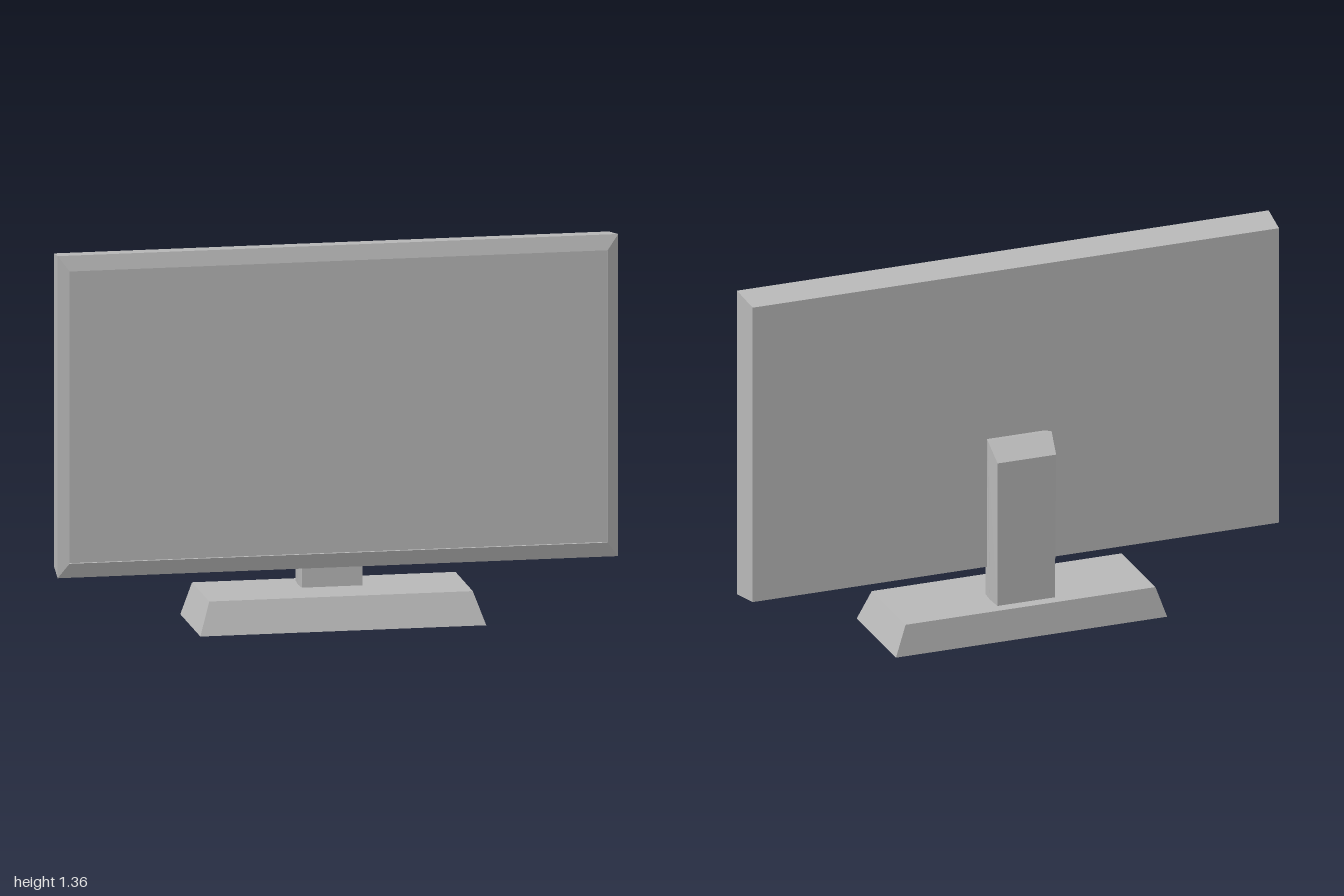
import * as THREE from 'three';

// Flat-faced solid through four-cornered rings, listed anticlockwise seen from the last ring
function loft(rings, capEnd = true) {
  const pos = [];
  const quad = (a, b, c, d) => pos.push(...a, ...b, ...c, ...a, ...c, ...d);
  for (let r = 0; r < rings.length - 1; r++) {
    const a = rings[r], b = rings[r + 1];
    for (let i = 0; i < 4; i++) {
      const j = (i + 1) % 4;
      quad(a[i], a[j], b[j], b[i]);
    }
  }
  quad(...[...rings[0]].reverse());
  if (capEnd) quad(...rings[rings.length - 1]);
  const geometry = new THREE.BufferGeometry();
  geometry.setAttribute('position', new THREE.Float32BufferAttribute(pos, 3));
  geometry.computeVertexNormals();
  return geometry;
}

// Upright ring facing +z: bottom and top may differ in half-width and depth
const upright = (wBottom, wTop, y0, y1, zBottom, zTop = zBottom) => [
  [-wBottom, y0, zBottom], [wBottom, y0, zBottom], [wTop, y1, zTop], [-wTop, y1, zTop],
];

// Level ring facing +y
const level = (w, y, zFront, zBack) => [
  [-w, y, zFront], [w, y, zFront], [w, y, zBack], [-w, y, zBack],
];

export function createModel() {
  const group = new THREE.Group();
  const grey = new THREE.MeshStandardMaterial({ color: 0xbababa });
  grey.name = 'grey plastic';

  const add = (name, geometry) => {
    const mesh = new THREE.Mesh(geometry, grey);
    mesh.name = name;
    group.add(mesh);
    return mesh;
  };

  // Base plate with sloping sides
  add('base', loft([level(0.51, 0, 0.19, -0.19), level(0.47, 0.115, 0.147, -0.18)]));

  // Column with a slanted back top
  add('column', loft([
    upright(0.108, 0.11, 0.11, 0.66, -0.138, -0.145),
    upright(0.112, 0.12, 0.11, 0.72, -0.075),
    upright(0.108, 0.108, 0.11, 0.71, -0.02, -0.035),
  ]));

  // Casing that widens forward, then a bevelled bezel and a shallow inner lip
  add('casing', loft([
    upright(0.99, 0.99, 0.225, 1.345, -0.038),
    upright(1, 1, 0.207, 1.362, 0.088),
    upright(0.96, 0.96, 0.26, 1.308, 0.101),
    upright(0.96, 0.96, 0.26, 1.308, 0.09),
  ], false));

  // Recessed screen
  const screen = add('screen', new THREE.PlaneGeometry(1.92, 1.048));
  screen.position.set(0, 0.784, 0.09);

  return group;
}
